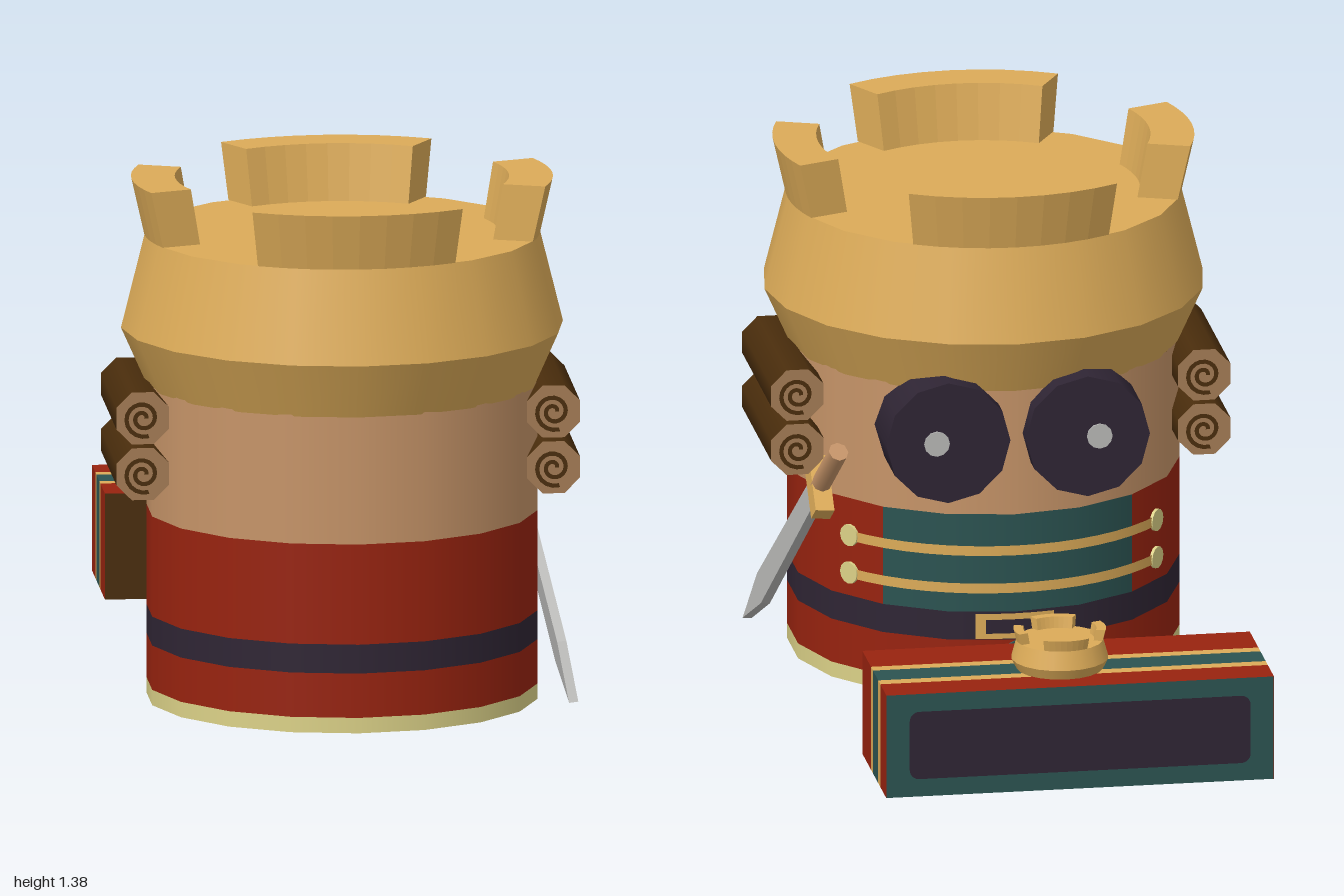
import * as THREE from 'three';

const mat = (name, color) => {
  const m = new THREE.MeshStandardMaterial({ color, side: THREE.DoubleSide });
  m.name = name;
  return m;
};
const rad = THREE.MathUtils.degToRad;

export function createModel() {
  const gold = mat('gold', 0xdcab58), red = mat('red', 0x98230f), skin = mat('skin', 0xc69468);
  const navy = mat('dark', 0x2f2534), teal = mat('teal', 0x2b5351), cream = mat('cream', 0xdcd288);
  const brown = mat('bark', 0x4a2d0c), wood = mat('cutWood', 0xa47c55), steel = mat('steel', 0xb8b8b6);

  const root = new THREE.Group();
  const CZ = 0.435, R = 0.5;
  const add = (parent, name, geo, material, x = 0, y = 0, z = 0) => {
    const m = new THREE.Mesh(geo, material);
    m.name = name;
    m.position.set(x, y, z);
    parent.add(m);
    return m;
  };

  // Curved wall of the body; angles in degrees from the face side (-z)
  const body = new THREE.Group();
  body.name = 'body';
  body.position.z = CZ;
  root.add(body);
  const wall = (name, y0, y1, a0, a1, material, r = R, segs = Math.ceil((a1 - a0) / 20)) =>
    add(body, name, new THREE.CylinderGeometry(r, r, y1 - y0, segs, 1, true, rad(180 + a0), rad(a1 - a0)),
      material, 0, (y0 + y1) / 2, 0);
  const bands = [
    ['hem', 0.035, 0.075, cream, cream], ['coatSkirt', 0.075, 0.19, red, red],
    ['belt', 0.19, 0.265, navy, navy], ['coat', 0.265, 0.525, red, teal], ['face', 0.525, 0.86, skin, skin],
  ];
  for (const [name, y0, y1, side, front] of bands) {
    wall(name, y0, y1, 40, 320, side);
    wall(name + 'Panel', y0, y1, -40, 40, front);
  }
  const cap = add(body, 'bodyCap', new THREE.CircleGeometry(R, 20), skin, 0, 0.855, 0);
  cap.rotation.x = -Math.PI / 2;

  // Tapered panel below the belt: angle narrows to a point at the top
  const tail = wall('coatTail', 0.075, 0.19, -25, 25, teal, 0.504, 8);
  const tp = tail.geometry.attributes.position;
  for (let i = 0; i < tp.count; i++) {
    const t = 0.5 - tp.getY(i) / 0.115;
    const a = Math.atan2(tp.getX(i), -tp.getZ(i)) * t;
    tp.setXYZ(i, Math.sin(a) * 0.504, tp.getY(i), -Math.cos(a) * 0.504);
  }
  tail.geometry.computeVertexNormals();

  // Buckle and braids with round buttons
  wall('buckle', 0.195, 0.262, -11.5, 11.5, gold, 0.505, 4);
  wall('buckleInset', 0.21, 0.247, -8.5, 8.5, navy, 0.508, 4);
  for (const y of [0.33, 0.43]) {
    wall('braid', y - 0.013, y + 0.013, -52, 52, gold, 0.505, 16);
    for (const s of [-1, 1]) {
      const a = rad(52);
      const b = add(body, 'button', new THREE.CylinderGeometry(0.029, 0.029, 0.008, 12), cream,
        s * Math.sin(a) * 0.503, y, -Math.cos(a) * 0.503);
      b.rotation.set(Math.PI / 2, 0, -s * a);
      b.rotation.order = 'YXZ';
      b.rotation.set(Math.PI / 2, Math.PI - s * a, 0);
    }
  }

  // Crown: two sloping bands, a flat top and four flared battlements
  const battlement = (halfAngle, centre) => {
    const s = new THREE.Shape();
    s.absarc(0, 0, 0.505, centre - halfAngle, centre + halfAngle, false);
    s.absarc(0, 0, 0.4, centre + halfAngle, centre - halfAngle, true);
    s.closePath();
    const g = new THREE.ExtrudeGeometry(s, { depth: 0.145, bevelEnabled: false, curveSegments: 4 });
    g.rotateX(-Math.PI / 2);
    const p = g.attributes.position;
    for (let i = 0; i < p.count; i++) {
      const k = 1 + 0.065 * p.getY(i) / 0.145;
      p.setXYZ(i, p.getX(i) * k, p.getY(i), p.getZ(i) * k);
    }
    g.computeVertexNormals();
    return g;
  };
  const crown = (name) => {
    const g = new THREE.Group();
    g.name = name;
    add(g, 'crownUnderside', new THREE.CylinderGeometry(0.565, 0.5, 0.145, 20, 1, true), gold, 0, 0.0725, 0);
    add(g, 'crownBand', new THREE.CylinderGeometry(0.505, 0.565, 0.24, 20, 1, true), gold, 0, 0.265, 0);
    add(g, 'crownTop', new THREE.CircleGeometry(0.505, 20), gold, 0, 0.385, 0).rotation.x = -Math.PI / 2;
    for (let i = 0; i < 4; i++)
      add(g, 'battlement', battlement(rad(i % 2 ? 30 : 20.5), i * Math.PI / 2), gold, 0, 0.385, 0);
    root.add(g);
    return g;
  };
  crown('crown').position.set(0, 0.855, CZ);
  const small = crown('smallCrown');
  small.position.set(0.01, 0.358, -0.83);
  small.scale.set(0.22, 0.2, 0.22);

  // Eyes: dark drums with pale pupils
  for (const s of [-1, 1]) {
    const eye = add(root, 'eye', new THREE.CylinderGeometry(0.16, 0.16, 0.215, 12), navy, s * 0.18, 0.74, -0.0075);
    eye.rotation.x = Math.PI / 2;
    const pupil = add(root, 'pupil', new THREE.CylinderGeometry(0.033, 0.033, 0.006, 12), steel, s * 0.21, 0.74, -0.117);
    pupil.rotation.x = Math.PI / 2;
  }

  // Stacked logs at the sides, with growth spirals on their ends
  const outer = [], inner = [];
  for (let i = 0; i <= 32; i++) {
    const t = i / 32, a = t * Math.PI * 3.6, r = 0.014 + 0.04 * t;
    outer.push(new THREE.Vector2(Math.cos(a) * r, Math.sin(a) * r));
    inner.push(new THREE.Vector2(Math.cos(a) * (r - 0.011), Math.sin(a) * (r - 0.011)));
  }
  const spiral = new THREE.ShapeGeometry(new THREE.Shape([...outer, ...inner.reverse()]));
  for (const s of [-1, 1]) for (const y of [0.655, 0.8]) {
    const g = new THREE.CylinderGeometry(0.073, 0.073, 0.46, 8);
    g.rotateY(Math.PI / 8);
    g.rotateX(Math.PI / 2);
    add(root, 'log', g, [brown, wood, wood], s * 0.525, y, 0.39);
    add(root, 'logSpiral', spiral, brown, s * 0.525, y, 0.623);
    add(root, 'logSpiral', spiral, brown, s * 0.525, y, 0.157).rotation.y = Math.PI;
  }

  // Sword slung at the side: local y runs from pommel to tip
  const sword = new THREE.Group();
  sword.name = 'sword';
  const d = new THREE.Vector3(0.135, -0.64, 0.63).normalize();
  const w = new THREE.Vector3(0, 0.63, 0.64).normalize();
  sword.quaternion.setFromRotationMatrix(new THREE.Matrix4().makeBasis(w, d, new THREE.Vector3().crossVectors(w, d)));
  sword.position.set(0.44, 0.685, 0.03);
  const blade = new THREE.Shape([[-0.036, 0.2], [0.036, 0.2], [0.043, 0.74], [0, 0.9], [-0.043, 0.74]]
    .map(([x, y]) => new THREE.Vector2(x, y)));
  add(sword, 'blade', new THREE.ExtrudeGeometry(blade, { depth: 0.024, bevelEnabled: false }), steel, 0, 0, -0.012);
  add(sword, 'guard', new THREE.BoxGeometry(0.16, 0.045, 0.05), gold, 0, 0.19, 0);
  add(sword, 'handle', new THREE.CylinderGeometry(0.026, 0.026, 0.18, 8), skin, 0, 0.09, 0);
  root.add(sword);

  // Open strap under the body
  for (const x of [-0.11, 0.12])
    add(root, 'strapSide', new THREE.PlaneGeometry(0.215, 0.045), navy, x, 0.0225, 0.0825).rotation.y = Math.PI / 2;
  add(root, 'strapFront', new THREE.PlaneGeometry(0.23, 0.045), navy, 0.005, 0.0225, -0.025);

  // Striped crate, open underneath
  const crate = new THREE.Group();
  crate.name = 'crate';
  crate.position.x = -0.015;
  root.add(crate);
  const H = 0.275, Y = 0.085 + H / 2;
  const stripes = [[-1, -0.903, red], [-0.903, -0.87, gold], [-0.87, -0.787, teal], [-0.787, -0.755, gold], [-0.755, -0.62, red]];
  for (const [z0, z1, m] of stripes) {
    const z = (z0 + z1) / 2;
    add(crate, 'crateTop', new THREE.PlaneGeometry(1, z1 - z0), m, 0, 0.36, z).rotation.x = -Math.PI / 2;
    for (const s of [-1, 1])
      add(crate, 'crateEnd', new THREE.PlaneGeometry(z1 - z0, H), m, s * 0.5, Y, z).rotation.y = s * Math.PI / 2;
  }
  add(crate, 'crateWoodSide', new THREE.PlaneGeometry(1, H), brown, 0, Y, -0.62);
  add(crate, 'crateFrameSide', new THREE.PlaneGeometry(1, H), teal, 0, Y, -0.996).rotation.y = Math.PI;
  const a = 0.44, b = 0.09, c = 0.025, p = new THREE.Shape();
  p.absarc(a - c, b - c, c, 0, Math.PI / 2);
  p.absarc(c - a, b - c, c, Math.PI / 2, Math.PI);
  p.absarc(c - a, c - b, c, Math.PI, Math.PI * 1.5);
  p.absarc(a - c, c - b, c, Math.PI * 1.5, Math.PI * 2);
  add(crate, 'cratePanel', new THREE.ShapeGeometry(p, 4), navy, 0, Y, -1).rotation.y = Math.PI;

  return root;
}
